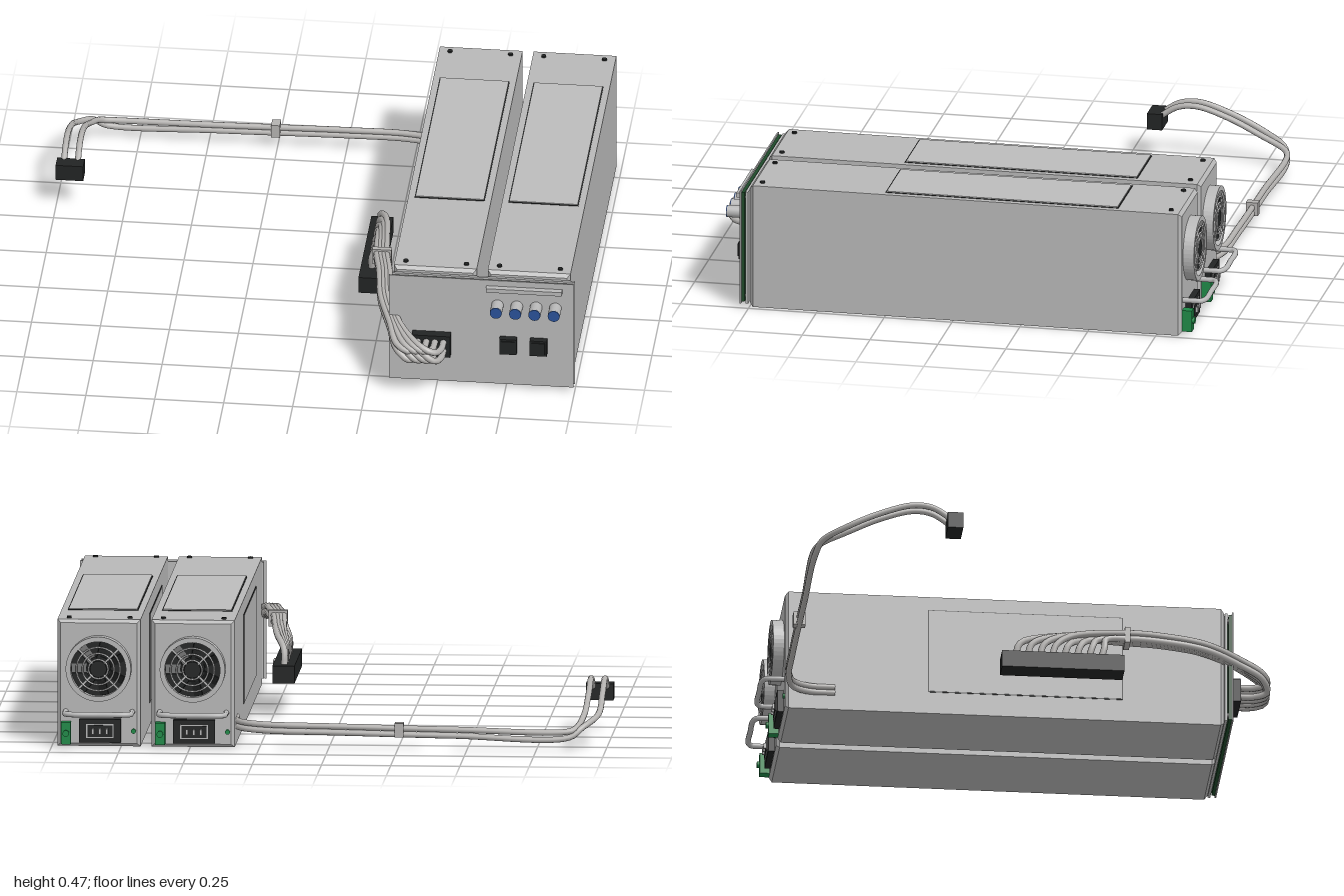
import * as THREE from 'three';

const mat = (name, color, side = THREE.FrontSide) => {
  const m = new THREE.MeshStandardMaterial({ color, side });
  m.name = name;
  return m;
};

export function createModel() {
  const metal = mat('case grey', 0xb8b8b8);
  const label = mat('label grey', 0xbcbcbc);
  const wireGrey = mat('cable grey', 0xb4b2b0);
  const black = mat('black plastic', 0x222424);
  const green = mat('release green', 0x1f8a48);
  const board = mat('board green', 0x1f4a2a);
  const blue = mat('blue caps', 0x2a5299);

  const root = new THREE.Group();
  root.name = 'powerSupply';

  const add = (parent, name, geo, m, x = 0, y = 0, z = 0) => {
    const mesh = new THREE.Mesh(geo, m);
    mesh.name = name;
    mesh.position.set(x, y, z);
    parent.add(mesh);
    return mesh;
  };
  // Box given by its lower and upper corners
  const box = (parent, name, m, x0, x1, y0, y1, z0, z1) =>
    add(parent, name, new THREE.BoxGeometry(x1 - x0, y1 - y0, z1 - z0), m,
      (x0 + x1) / 2, (y0 + y1) / 2, (z0 + z1) / 2);
  // Cylinder lying along z
  const rod = (parent, name, m, r, depth, x, y, z, sides = 24) =>
    add(parent, name, new THREE.CylinderGeometry(r, r, depth, sides).rotateX(Math.PI / 2), m, x, y, z);
  // Capped tube through points
  const wire = (parent, name, pts, r, segs = 40, m = wireGrey) => {
    const curve = new THREE.CatmullRomCurve3(pts.map(p => new THREE.Vector3(...p)), false, 'centripetal');
    return add(parent, name, new THREE.TubeGeometry(curve, segs, r, 10), m);
  };

  // Case body with chamfered edges, 0.3 wide and 1.59 long
  const caseGeometry = () => {
    const c = 0.012, w = 0.15 - c, y0 = 0.003 + c, y1 = 0.465 - c;
    const s = new THREE.Shape();
    s.moveTo(-w, y0);
    s.lineTo(w, y0);
    s.lineTo(w, y1);
    s.lineTo(-w, y1);
    return new THREE.ExtrudeGeometry(s, {
      depth: 1.59 - 2 * c, bevelThickness: c, bevelSize: c, bevelSegments: 1
    }).translate(0, 0, -0.84 + c);
  };

  // Round fan with its wire guard, on the back
  const addFan = parent => {
    const fan = new THREE.Group();
    fan.name = 'fan';
    fan.position.set(0, 0.29, 0);
    parent.add(fan);
    const ring = new THREE.Shape();
    ring.absarc(0, 0, 0.118, 0, Math.PI * 2);
    const hole = new THREE.Path();
    hole.absarc(0, 0, 0.1, 0, Math.PI * 2, true);
    ring.holes.push(hole);
    add(fan, 'fanHousing', new THREE.ExtrudeGeometry(ring, {
      depth: 0.04, bevelEnabled: false, curveSegments: 24
    }), metal, 0, 0, -0.88);
    rod(fan, 'fanWell', black, 0.101, 0.012, 0, 0, -0.846, 32);
    rod(fan, 'fanHub', black, 0.045, 0.025, 0, 0, -0.855);
    for (let i = 0; i < 7; i++) {
      const blade = add(fan, 'fanBlade', new THREE.BoxGeometry(0.062, 0.035, 0.004).rotateX(0.5).translate(0.067, 0, 0),
        black, 0, 0, -0.86);
      blade.rotation.z = i * Math.PI * 2 / 7;
    }
    for (const r of [0.035, 0.057, 0.079])
      add(fan, 'guardRing', new THREE.TorusGeometry(r, 0.0035, 6, 32), metal, 0, 0, -0.877);
    for (let i = 0; i < 4; i++) {
      const spoke = add(fan, 'guardSpoke', new THREE.BoxGeometry(0.075, 0.007, 0.005).translate(0.066, 0, 0),
        metal, 0, 0, -0.876);
      spoke.rotation.z = Math.PI / 4 + i * Math.PI / 2;
    }
    rod(fan, 'guardCentre', black, 0.03, 0.006, 0, 0, -0.876);
  };

  // Two identical supply modules side by side
  for (const x of [0.49, 0.83]) {
    const unit = new THREE.Group();
    unit.name = 'supplyModule';
    unit.position.x = x;
    root.add(unit);
    add(unit, 'case', caseGeometry(), metal);
    box(unit, 'labelEdge', black, -0.127, 0.127, 0.464, 0.467, -0.604, 0.254);
    box(unit, 'topLabel', label, -0.124, 0.124, 0.464, 0.470, -0.6, 0.25);
    box(unit, 'sideLabelEdge', black, -0.152, -0.14, 0.087, 0.413, -0.323, 0.383);
    box(unit, 'sideLabel', metal, -0.1535, -0.14, 0.09, 0.41, -0.32, 0.38);
    for (const sx of [-0.11, 0.11])
      for (const z of [-0.795, 0.71])
        add(unit, 'screw', new THREE.CylinderGeometry(0.009, 0.009, 0.008, 12), black, sx, 0.467, z);

    addFan(unit);
    // Handle, socket, release lever and lamp below the fan
    wire(unit, 'handle', [[-0.12, 0.13, -0.83], [-0.12, 0.13, -0.88], [-0.117, 0.13, -0.905], [-0.095, 0.13, -0.918],
      [0, 0.13, -0.92], [0.095, 0.13, -0.918], [0.117, 0.13, -0.905], [0.12, 0.13, -0.88], [0.12, 0.13, -0.83]], 0.01, 50, metal);
    box(unit, 'powerSocketRim', black, -0.08, 0.07, 0.02, 0.105, -0.862, -0.83);
    box(unit, 'powerSocketCore', metal, -0.055, 0.045, 0.037, 0.088, -0.865, -0.85);
    box(unit, 'powerSocketInset', black, -0.05, 0.04, 0.041, 0.084, -0.867, -0.85);
    for (const px of [-0.03, -0.005, 0.02])
      box(unit, 'powerPin', metal, px - 0.004, px + 0.004, 0.052, 0.072, -0.875, -0.86);
    box(unit, 'releaseLever', green, 0.1, 0.135, 0.015, 0.095, -0.876, -0.83);
    rod(unit, 'releaseLeverPin', green, 0.012, 0.014, 0.117, 0.055, -0.878, 12);
    rod(unit, 'statusLamp', green, 0.009, 0.01, -0.125, 0.06, -0.842, 12);
  }

  // Front plate and circuit board
  box(root, 'backingPlate', metal, 0.335, 0.998, 0.02, 0.445, 0.752, 0.762);
  box(root, 'circuitBoard', board, 0.335, 0.99, 0.025, 0.44, 0.766, 0.778);
  box(root, 'frontPlate', metal, 0.326, 0.995, 0.018, 0.447, 0.778, 0.783);
  for (const x of [0.35, 0.66, 0.97])
    for (const y of [0.045, 0.42])
      rod(root, 'spacer', metal, 0.01, 0.012, x, y, 0.764, 10);

  // Row of capped posts under a narrow strip
  box(root, 'headerStrip', metal, 0.68, 0.955, 0.408, 0.424, 0.78, 0.805);
  for (let i = 0; i < 4; i++) {
    const x = 0.72 + i * 0.07;
    rod(root, 'post', metal, 0.022, 0.062, x, 0.345, 0.809);
    rod(root, 'postCap', blue, 0.0215, 0.005, x, 0.345, 0.841);
  }

  // Black sockets on the front
  for (const x of [0.76, 0.87]) {
    box(root, 'frontSocket', black, x - 0.031, x + 0.031, 0.155, 0.217, 0.78, 0.808);
    box(root, 'frontSocketLip', black, x - 0.024, x + 0.024, 0.162, 0.21, 0.8, 0.812);
  }
  box(root, 'cableSocket', black, 0.412, 0.552, 0.135, 0.222, 0.78, 0.818);

  // Wire harness: out of the front, round the corner, fanning into the long plug
  const harness = new THREE.Group();
  harness.name = 'wireHarness';
  root.add(harness);
  for (let i = 0; i < 8; i++) {
    const col = i % 4, row = Math.floor(i / 4);
    const dx = (col - 1.5) * 0.012, dy = (row - 0.5) * 0.022;
    const px = 0.435 + col * 0.031, end = 0.29 - i * 0.044;
    wire(harness, 'harnessWire', [
      [px, 0.18 + dy * 1.6, 0.8],
      [px - 0.005, 0.18 + dy * 1.6, 0.87],
      [px - 0.025, 0.19 + dy * 1.6, 0.912],
      [px - 0.07, 0.215 + dy, 0.9 + dx * 0.5],
      [0.352 + dx, 0.25 + dy, 0.81],
      [0.305 + dx, 0.285 + dy, 0.68],
      [0.282 + dx, 0.3 + dy, 0.52],
      [0.258 + dx, 0.295 + dy, 0.39],
      [0.235 + dx * 0.5, 0.275 + dy * 0.4, end + (0.36 - end) * 0.3],
      [0.213, 0.235, end + 0.015],
      [0.212, 0.18, end]
    ], 0.012, 60);
  }
  box(harness, 'cableTie', wireGrey, 0.225, 0.295, 0.265, 0.325, 0.38, 0.4);
  box(harness, 'longPlug', black, 0.172, 0.252, 0.125, 0.188, -0.07, 0.373);
  box(harness, 'plugLatch', wireGrey, 0.25, 0.262, 0.135, 0.178, 0.12, 0.2);

  // Long two-wire lead, running out to a small plug
  const lead = new THREE.Group();
  lead.name = 'longLead';
  root.add(lead);
  for (const s of [-1, 1]) {
    const dy = s * 0.011, x = -0.95 + s * 0.025;
    wire(lead, 'leadWire', [
      [0.342, 0.08 + dy, -0.66],
      [0.337, 0.08 + dy, -0.75],
      [0.305, 0.08 + dy, -0.81],
      [0.22, 0.077 + dy, -0.838],
      [0, 0.074 + dy, -0.845],
      [-0.45, 0.066 + dy, -0.846],
      [-0.87, 0.063 + dy, -0.845],
      [-0.905 + s * 0.01, 0.085, -0.825],
      [x + 0.008, 0.12, -0.74],
      [x, 0.175, -0.62],
      [x, 0.212, -0.5],
      [x, 0.205, -0.43],
      [x, 0.165, -0.365]
    ], 0.011, 110);
  }
  box(lead, 'leadTie', wireGrey, -0.272, -0.24, 0.05, 0.1, -0.868, -0.824);
  box(lead, 'leadPlug', black, -1, -0.9, 0.12, 0.18, -0.378, -0.322);

  return root;
}
